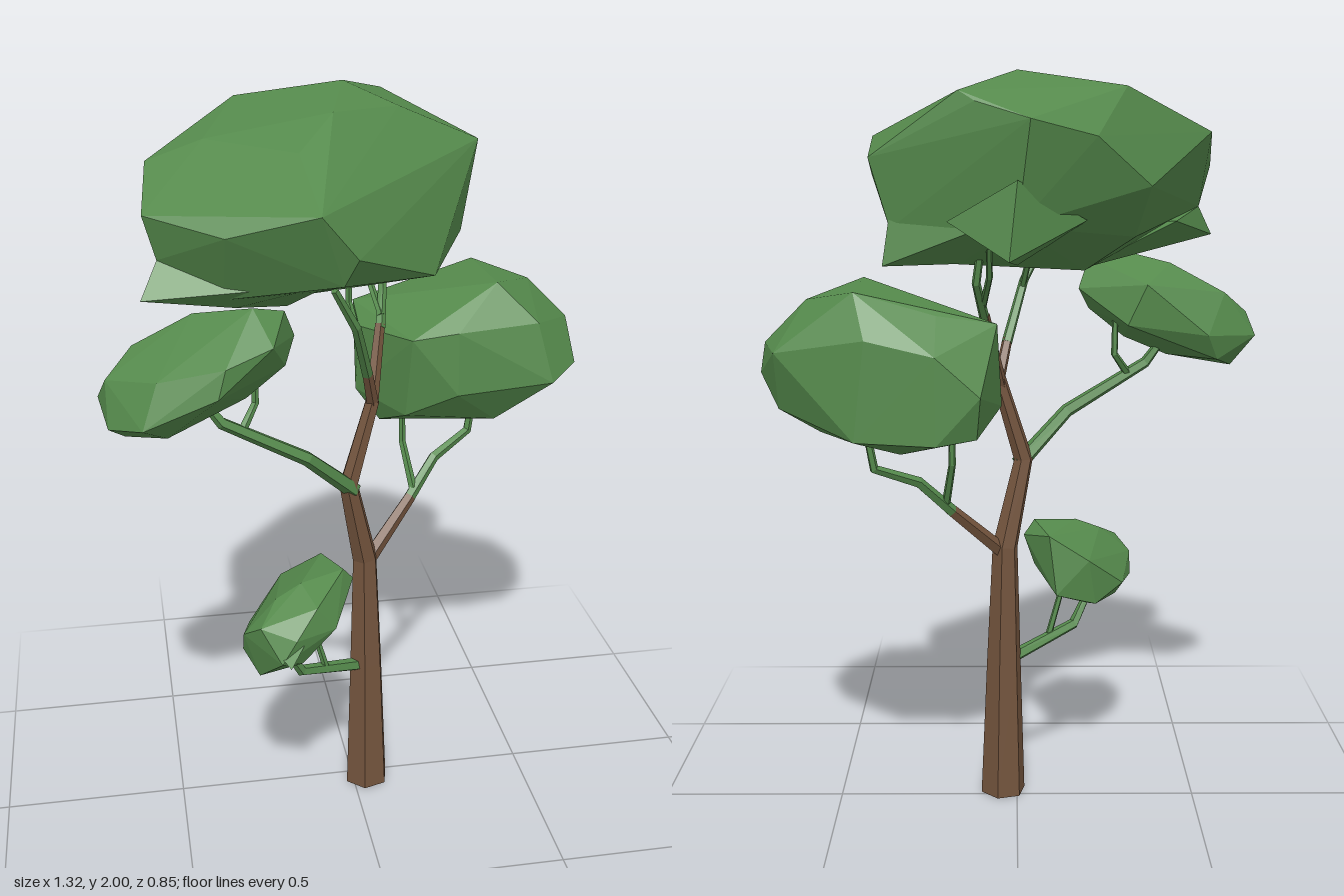
import * as THREE from 'three';
import { ConvexGeometry } from 'three/addons/geometries/ConvexGeometry.js';

const V = (p) => new THREE.Vector3(p[0], p[1], p[2]);

// Faceted tapered limb through [x, y, z, radius] stations
function limbGeometry(stations, sides) {
  const pts = stations.map(V);
  const rings = pts.map((p, i) => {
    const t = pts[Math.min(i + 1, pts.length - 1)].clone().sub(pts[Math.max(i - 1, 0)]).normalize();
    const n = new THREE.Vector3(0.3, 0, 1).cross(t).normalize();
    const b = t.clone().cross(n);
    return Array.from({ length: sides }, (_, j) => {
      const a = (j / sides) * Math.PI * 2, r = stations[i][3];
      return p.clone().addScaledVector(n, Math.cos(a) * r).addScaledVector(b, Math.sin(a) * r);
    });
  });
  const tris = [];
  const last = rings.length - 1;
  for (let j = 0; j < sides; j++) {
    const k = (j + 1) % sides;
    for (let i = 0; i < last; i++) {
      const a = rings[i][j], b = rings[i][k], c = rings[i + 1][k], d = rings[i + 1][j];
      tris.push(a, b, c, a, c, d);
    }
    tris.push(pts[0], rings[0][k], rings[0][j], pts[last], rings[last][j], rings[last][k]);
  }
  const g = new THREE.BufferGeometry().setFromPoints(tris);
  g.computeVertexNormals();
  return g;
}

export function createModel() {
  const bark = new THREE.MeshStandardMaterial({ color: 0x73543d });
  bark.name = 'bark brown';
  const leaf = new THREE.MeshStandardMaterial({ color: 0x558a4c });
  leaf.name = 'leaf green';
  const tree = new THREE.Group();
  tree.name = 'tree';

  const add = (name, geometry, material) => {
    const mesh = new THREE.Mesh(geometry, material);
    mesh.name = name;
    tree.add(mesh);
  };
  const limb = (name, material, stations, sides = 5) => add(name, limbGeometry(stations, sides), material);
  const foliage = (name, points) => add(name, new ConvexGeometry(points.map(V)), leaf);

  // Trunk and woody forks
  limb('trunk', bark, [[0.04, 0, 0.03, 0.064], [0.037, 0.4, 0.028, 0.049], [0.033, 0.73, 0.025, 0.036],
    [-0.018, 0.97, 0.06, 0.027], [0.05, 1.2, 0.04, 0.02]], 6);
  limb('rightBough', bark, [[0.035, 0.71, 0.025, 0.022], [0.18, 0.86, -0.07, 0.017]]);
  limb('backBough', bark, [[0.045, 1.18, 0.04, 0.019], [0.085, 1.38, -0.05, 0.014]]);
  limb('frontBough', bark, [[0.05, 1.19, 0.04, 0.017], [0.025, 1.3, 0.09, 0.014]]);

  // Green branches and twigs
  limb('rightBranch', leaf, [[0.175, 0.855, -0.067, 0.017], [0.26, 0.95, -0.13, 0.015],
    [0.37, 1.0, -0.19, 0.013], [0.39, 1.12, -0.2, 0.01]]);
  limb('rightTwig', leaf, [[0.19, 0.88, -0.08, 0.012], [0.17, 1.0, -0.14, 0.01], [0.17, 1.12, -0.15, 0.008]]);
  limb('backBranch', leaf, [[0.085, 1.37, -0.045, 0.014], [0.105, 1.47, -0.12, 0.012], [0.09, 1.58, -0.14, 0.01]]);
  limb('backTwig', leaf, [[0.09, 1.4, -0.06, 0.01], [0.07, 1.49, -0.17, 0.009], [0.07, 1.58, -0.22, 0.008]]);
  limb('frontBranch', leaf, [[0.027, 1.29, 0.085, 0.015], [-0.02, 1.45, 0.18, 0.013], [-0.08, 1.56, 0.22, 0.01]]);
  limb('frontTwig', leaf, [[-0.015, 1.43, 0.17, 0.01], [-0.03, 1.5, 0.13, 0.009], [-0.03, 1.58, 0.13, 0.008]]);
  limb('sideBranch', leaf, [[-0.005, 0.955, 0.06, 0.024], [-0.14, 1.09, 0.14, 0.02],
    [-0.36, 1.22, 0.18, 0.016], [-0.41, 1.29, 0.18, 0.011]]);
  limb('sideTwig', leaf, [[-0.31, 1.19, 0.17, 0.012], [-0.27, 1.25, 0.13, 0.01], [-0.27, 1.35, 0.13, 0.008]]);
  limb('lowBranch', leaf, [[0.02, 0.395, 0.04, 0.019], [-0.165, 0.46, 0.15, 0.016], [-0.22, 0.57, 0.19, 0.01]]);
  limb('lowTwig', leaf, [[-0.09, 0.435, 0.11, 0.01], [-0.135, 0.6, 0.12, 0.008]]);

  // Crown canopy
  foliage('crownFoliage', [
    [0, 2, -0.13], [-0.27, 1.96, -0.19], [0.14, 1.945, -0.35], [-0.06, 1.96, 0.09], [0.13, 1.945, -0.06],
    [-0.03, 1.88, -0.425], [0.1, 1.92, -0.375], [0.36, 1.79, -0.28], [0.36, 1.75, -0.19], [0.36, 1.84, -0.14],
    [0.08, 1.78, 0.16], [-0.14, 1.79, 0.42], [-0.16, 1.89, 0.21], [-0.05, 1.68, 0.39], [-0.35, 1.73, 0.34],
    [-0.37, 1.9, 0.05], [-0.53, 1.76, 0.21], [-0.51, 1.85, 0.04], [-0.33, 1.72, -0.24], [-0.19, 1.84, -0.35],
    [-0.5, 1.65, 0.2], [-0.35, 1.56, 0.25], [-0.08, 1.61, 0.36], [0.18, 1.57, 0.17], [0.31, 1.61, -0.1],
    [0.31, 1.62, -0.28], [0, 1.63, -0.37], [-0.18, 1.49, 0.03], [0.15, 1.52, -0.12], [-0.3, 1.59, -0.13],
  ]);
  // Pointed skirts hanging under the crown
  foliage('crownTipSide', [[-0.545, 1.57, 0.26], [-0.5, 1.65, 0.2], [-0.42, 1.62, 0.02], [-0.18, 1.49, 0.1],
    [-0.32, 1.53, 0.22], [-0.1, 1.6, 0.3]]);
  foliage('crownTipRight', [[0.33, 1.53, -0.29], [0.31, 1.66, -0.28], [0.31, 1.62, -0.1], [0.12, 1.52, -0.1],
    [0.1, 1.62, -0.34]]);
  foliage('crownTipBack', [[0.02, 1.55, -0.42], [0, 1.74, -0.4], [0.17, 1.64, -0.33], [-0.17, 1.64, -0.28],
    [0, 1.52, -0.15]]);

  // Right cluster
  foliage('rightFoliage', [
    [0.05, 1.385, -0.26], [0.05, 1.34, -0.16], [0.16, 1.35, 0.02], [0.2, 1.41, -0.3], [0.4, 1.48, -0.04],
    [0.4, 1.47, -0.32], [0.53, 1.44, -0.2], [0.64, 1.33, -0.18], [0.655, 1.25, -0.17], [0.6, 1.17, -0.25],
    [0.51, 1.09, -0.15], [0.3, 1.04, -0.2], [0.1, 1.08, -0.12], [0.04, 1.16, -0.16], [0.2, 1.32, -0.39],
    [0.37, 1.36, -0.385], [0.6, 1.32, -0.31], [0.4, 1.11, -0.385], [0.2, 1.1, -0.39], [0.62, 1.25, -0.02],
    [0.54, 1.22, 0.05], [0.28, 1.2, 0.05], [0.28, 1.37, 0.04], [0.5, 1.38, 0.02], [0.4, 1.1, -0.02],
    [0.15, 1.13, -0.01], [0.09, 1.22, -0.385], [0.1, 1.11, -0.35],
  ]);

  // Side cluster
  foliage('sideFoliage', [
    [-0.66, 1.3, 0.15], [-0.64, 1.36, 0.2], [-0.57, 1.42, 0.13], [-0.42, 1.5, 0.15], [-0.28, 1.53, 0.23],
    [-0.2, 1.51, 0.2], [-0.17, 1.43, 0.15], [-0.2, 1.37, 0.2], [-0.3, 1.29, 0.2], [-0.42, 1.24, 0.2],
    [-0.6, 1.21, 0.2], [-0.64, 1.25, 0.25], [-0.56, 1.27, 0.33], [-0.38, 1.35, 0.36], [-0.36, 1.42, 0.35],
    [-0.52, 1.38, 0.3], [-0.52, 1.31, 0.06], [-0.35, 1.45, 0.04], [-0.3, 1.34, 0.05], [-0.24, 1.45, 0.3],
    [-0.5, 1.23, 0.28], [-0.55, 1.24, 0.1],
  ]);

  // Low cluster
  foliage('lowFoliage', [
    [-0.33, 0.59, 0.22], [-0.33, 0.65, 0.25], [-0.29, 0.69, 0.3], [-0.24, 0.73, 0.22], [-0.17, 0.76, 0.2],
    [-0.05, 0.77, 0.16], [-0.02, 0.73, 0.14], [-0.05, 0.65, 0.12], [-0.12, 0.58, 0.15], [-0.2, 0.53, 0.13],
    [-0.29, 0.52, 0.25], [-0.24, 0.6, 0.34], [-0.2, 0.66, 0.33], [-0.14, 0.73, 0.29], [-0.09, 0.66, 0.28],
    [-0.18, 0.57, 0.29], [-0.22, 0.56, 0.03], [-0.2, 0.69, 0.01], [-0.09, 0.755, 0.03], [-0.11, 0.59, 0.01],
    [-0.3, 0.6, 0.1],
  ]);
  foliage('lowTip', [[-0.22, 0.6, 0.365], [-0.18, 0.64, 0.32], [-0.26, 0.63, 0.3], [-0.2, 0.57, 0.28]]);

  return tree;
}
